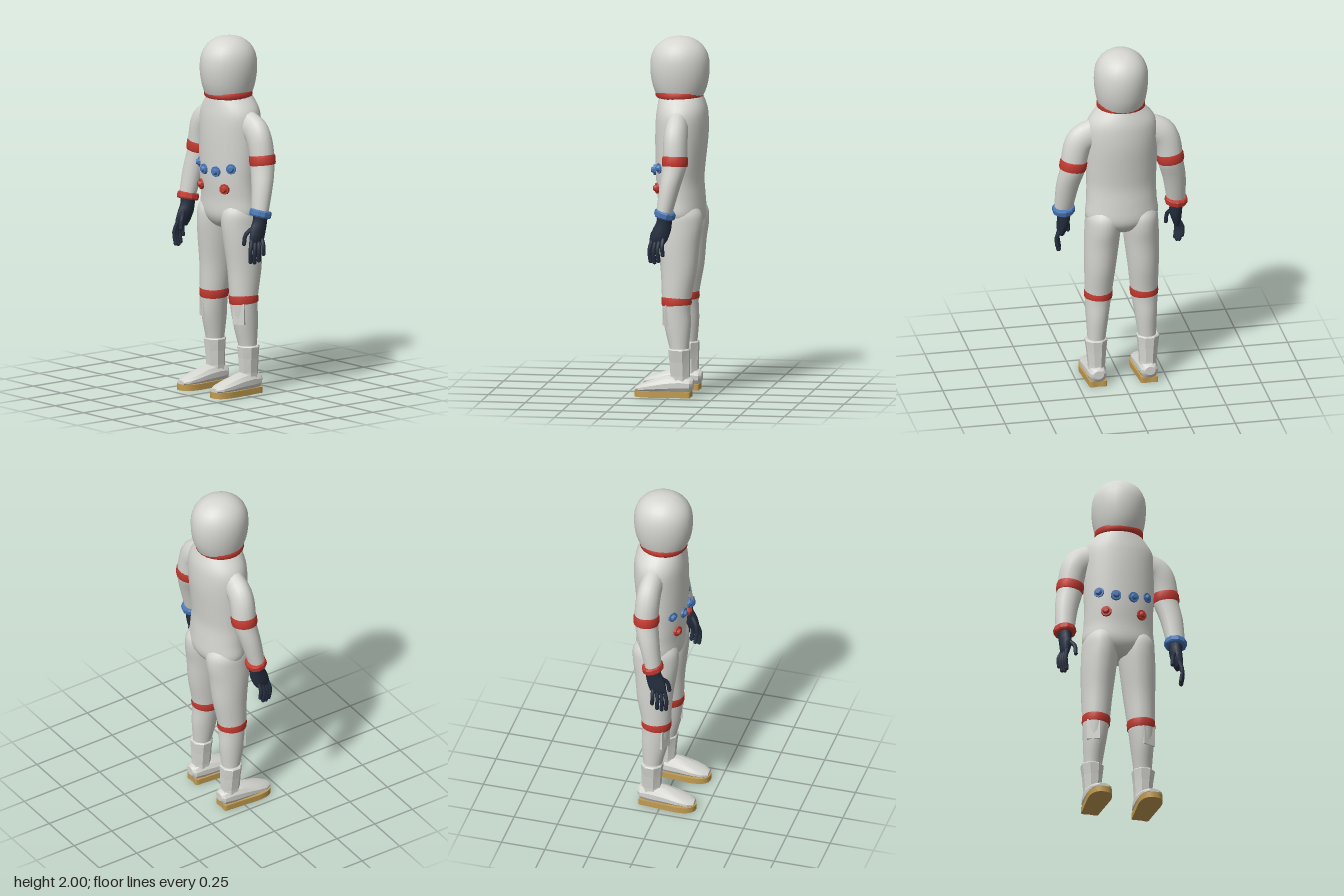
import * as THREE from 'three';
import { toCreasedNormals, mergeGeometries } from 'three/addons/utils/BufferGeometryUtils.js';

const mat = (name, color) => {
  const m = new THREE.MeshStandardMaterial({ color });
  m.name = name;
  return m;
};

// Catmull-Rom blend of the rows of a cross-section table
function refine(rows, steps) {
  const out = [];
  for (let i = 0; i < rows.length - 1; i++) {
    const [p, q, r, s] = [-1, 0, 1, 2].map(k => rows[Math.min(Math.max(i + k, 0), rows.length - 1)]);
    for (let j = 0; j < steps; j++) {
      const t = j / steps;
      out.push(q.map((b, k) => b + 0.5 * t * (r[k] - p[k]
        + t * (2 * p[k] - 5 * b + 4 * r[k] - s[k] + t * (3 * (b - r[k]) + s[k] - p[k])))));
    }
  }
  out.push(rows[rows.length - 1]);
  return out;
}

// Skin over elliptical rings [x, y, z, rx, rz, roll, pitch], listed bottom to top
function loft(table, { sides = 24, steps = 4, crease = 0.75 } = {}) {
  const rows = refine(table, steps), pos = [], idx = [];
  for (const [x, y, z, rx, rz, a, b] of rows) {
    for (let i = 0; i < sides; i++) {
      const t = ((i + 0.5) / sides) * Math.PI * 2, c = rx * Math.cos(t), s = rz * Math.sin(t);
      pos.push(x + c * Math.cos(a), y + c * Math.sin(a) + s * Math.sin(b), z + s * Math.cos(b));
    }
  }
  for (let r = 0; r < rows.length - 1; r++) {
    for (let i = 0; i < sides; i++) {
      const a = r * sides + i, b = r * sides + (i + 1) % sides;
      idx.push(a, a + sides, b, b, a + sides, b + sides);
    }
  }
  // end caps
  const top = (rows.length - 1) * sides;
  for (let i = 1; i < sides - 1; i++) {
    idx.push(0, i, i + 1, top, top + i + 1, top + i);
  }
  const g = new THREE.BufferGeometry();
  g.setAttribute('position', new THREE.Float32BufferAttribute(pos, 3));
  g.setIndex(idx);
  return toCreasedNormals(g, crease);
}

// Rows given as [x, y, z, rx, rz, roll?, pitch?], mirrored for the right side
const side = (rows, s) => rows.map(([x, y, z, rx, rz, a = 0, b = 0]) => [s * x, y, z, rx, rz, s * a, b]);

// Bevelled ring between two heights around a centre
function bandRows([x, y, z, rx, rz, a = 0, b = 0], h, bevel) {
  const up = [-Math.sin(a) * Math.cos(b), Math.cos(a) * Math.cos(b), -Math.sin(b)];
  return [[-0.5, -2 * bevel], [-0.5, -bevel], [-0.3, 0], [0.3, 0], [0.5, -bevel], [0.5, -2 * bevel]].map(([k, d]) =>
    [x + up[0] * k * h, y + up[1] * k * h, z + up[2] * k * h, rx + d, rz + d, a, b]);
}

export function createModel() {
  const white = mat('suit white', 0xd6d6d1), red = mat('trim red', 0xc43a30);
  const blue = mat('trim blue', 0x4a78b8), navy = mat('glove navy', 0x252f40);
  const tan = mat('sole tan', 0xc39d52);
  const model = new THREE.Group();
  const add = (name, geo, m, parent = model) => {
    const mesh = new THREE.Mesh(geo, m);
    mesh.name = name;
    parent.add(mesh);
    return mesh;
  };

  // Helmet and neck ring
  add('helmet', loft(side([
    [0, 1.67, -0.034, 0.125, 0.13], [0, 1.72, -0.034, 0.138, 0.15], [0, 1.78, -0.034, 0.148, 0.162],
    [0, 1.84, -0.034, 0.151, 0.165], [0, 1.9, -0.034, 0.143, 0.156], [0, 1.95, -0.034, 0.117, 0.127],
    [0, 1.985, -0.034, 0.072, 0.078], [0, 1.997, -0.034, 0.03, 0.033], [0, 2, -0.034, 0.002, 0.002]], 1),
  { steps: 2 }), white);
  add('neckRing', loft(bandRows([0, 1.68, -0.032, 0.135, 0.133], 0.042, 0.006), { steps: 1 }), red);

  // Torso
  add('torso', loft(side([
    [0, 0.93, -0.045, 0.07, 0.08], [0, 0.96, -0.046, 0.15, 0.112], [0, 1.01, -0.047, 0.203, 0.132],
    [0, 1.1, -0.044, 0.198, 0.131], [0, 1.2, -0.036, 0.195, 0.132], [0, 1.3, -0.038, 0.199, 0.138],
    [0, 1.45, -0.045, 0.202, 0.147], [0, 1.55, -0.047, 0.2, 0.145], [0, 1.61, -0.047, 0.178, 0.137],
    [0, 1.67, -0.042, 0.125, 0.122]], 1), { sides: 28 }), white);

  // Chest connectors, each facing out from the torso
  for (const [x, y, z, m] of [[0.135, 1.277, 0.055, blue], [0.05, 1.255, 0.094, blue], [0.1, 1.16, 0.074, red]]) {
    for (const s of [1, -1]) {
      const knob = new THREE.Group();
      knob.name = m === red ? 'redConnector' : 'blueConnector';
      knob.position.set(s * x, y, z);
      knob.rotation.y = s * Math.atan2(x / 0.039, (z + 0.04) / 0.019);
      const base = new THREE.CylinderGeometry(0.029, 0.031, 0.022, 10);
      const cap = new THREE.CylinderGeometry(0.012, 0.02, 0.014, 10).translate(0, 0.018, 0);
      add('connector', toCreasedNormals(mergeGeometries([base, cap]).rotateX(Math.PI / 2), 0.01), m, knob);
      model.add(knob);
    }
  }

  for (const s of [1, -1]) {
    const label = s > 0 ? 'left' : 'right';
    const arm = new THREE.Group(), leg = new THREE.Group();
    arm.name = label + 'Arm';
    leg.name = label + 'Leg';
    model.add(arm, leg);

    // Sleeve, arm band and cuff
    add('sleeve', loft(side([
      [0.318, 1.05, 0, 0.052, 0.048, 0, -0.2], [0.302, 1.2, -0.03, 0.064, 0.06, 0.1, -0.15],
      [0.276, 1.31, -0.052, 0.071, 0.066, 0.14], [0.267, 1.38, -0.053, 0.074, 0.067, 0.17],
      [0.247, 1.45, -0.051, 0.08, 0.067, 0.35], [0.214, 1.492, -0.05, 0.085, 0.065, 0.75],
      [0.16, 1.515, -0.047, 0.085, 0.062, 1.2], [0.09, 1.53, -0.045, 0.09, 0.06, 1.3]], s),
    { sides: 16, steps: 3 }), white, arm);
    add('armBand', loft(side(bandRows([0.274, 1.337, -0.053, 0.077, 0.072, 0.15], 0.055, 0.003), s),
      { sides: 16, steps: 1 }), red, arm);
    add('cuff', loft(side(bandRows([0.318, 1.048, -0.004, 0.064, 0.06, -0.05, 0.25], 0.04, 0.006), s),
      { sides: 10, steps: 1, crease: 0.01 }), s > 0 ? blue : red, arm);

    // Glove with four fingers and a thumb
    add('palm', loft(side([
      [0.326, 0.885, 0.036, 0.016, 0.038, 0, 0.15], [0.325, 0.91, 0.028, 0.025, 0.048, 0, 0.15],
      [0.318, 0.96, 0.013, 0.034, 0.05, 0, 0.2], [0.317, 1, 0, 0.036, 0.043, 0, 0.2],
      [0.318, 1.05, -0.004, 0.042, 0.042]], s), { sides: 12, steps: 2 }), navy, arm);
    const digits = [
      [[0.323, 0.91, 0.064], [0.335, 0.85, 0.08], [0.328, 0.785, 0.075]],
      [[0.328, 0.91, 0.045], [0.343, 0.845, 0.056], [0.333, 0.78, 0.052]],
      [[0.332, 0.91, 0.025], [0.35, 0.85, 0.032], [0.342, 0.79, 0.028]],
      [[0.335, 0.915, 0.003], [0.356, 0.87, 0.006], [0.353, 0.825, 0.003]],
      [[0.305, 0.97, 0.04], [0.281, 0.93, 0.072], [0.277, 0.88, 0.08]],
    ];
    digits.forEach((path, i) => {
      const pts = path.map(([x, y, z]) => new THREE.Vector3(s * x, y, z));
      const tube = new THREE.TubeGeometry(new THREE.CatmullRomCurve3(pts), 6, 0.0115, 8);
      const tip = new THREE.SphereGeometry(0.0118, 8, 6).translate(pts[2].x, pts[2].y, pts[2].z);
      add(i === 4 ? 'thumb' : 'finger', mergeGeometries([tube, tip]), navy, arm);
    });

    // Trouser leg, knee band and shin pocket
    add('trouserLeg', loft(side([
      [0.147, 0.2, -0.056, 0.044, 0.048], [0.143, 0.27, -0.054, 0.05, 0.053], [0.137, 0.4, -0.044, 0.063, 0.074],
      [0.13, 0.53, -0.037, 0.075, 0.08], [0.122, 0.7, -0.048, 0.087, 0.1], [0.113, 0.85, -0.046, 0.097, 0.117],
      [0.106, 0.95, -0.048, 0.1, 0.13], [0.102, 1.02, -0.048, 0.098, 0.127], [0.1, 1.07, -0.045, 0.075, 0.1]], s)),
    white, leg);
    add('kneeBand', loft(side(bandRows([0.129, 0.536, -0.037, 0.079, 0.084, 0.06, -0.06], 0.048, 0.002), s),
      { steps: 1 }), red, leg);
    const pocket = add('shinPocket', new THREE.BoxGeometry(0.072, 0.12, 0.05), white, leg);
    pocket.position.set(s * 0.152, 0.458, 0.005);
    pocket.rotation.y = s * 0.4;

    // Boot shaft, foot and sole
    add('bootShaft', loft(side([
      [0.145, 0.06, -0.06, 0.05, 0.06], [0.145, 0.12, -0.06, 0.05, 0.056], [0.146, 0.2, -0.058, 0.057, 0.059],
      [0.147, 0.265, -0.056, 0.066, 0.064], [0.147, 0.272, -0.056, 0.06, 0.058]], s),
    { sides: 8, steps: 1, crease: 0.01 }), white, leg);
    const down = -Math.PI / 2;
    add('bootFoot', loft(side([
      [0.145, 0.075, -0.134, 0.03, 0.025], [0.145, 0.068, -0.118, 0.048, 0.044], [0.145, 0.07, -0.06, 0.056, 0.06],
      [0.145, 0.065, 0.02, 0.06, 0.052], [0.145, 0.055, 0.1, 0.061, 0.036], [0.145, 0.047, 0.155, 0.053, 0.024],
      [0.145, 0.042, 0.188, 0.03, 0.014]].map(r => [...r, 0, down]), s),
    { sides: 12, steps: 1, crease: 0.4 }), white, leg);
    const outline = new THREE.Shape();
    outline.moveTo(0.05, 0.09);
    outline.bezierCurveTo(0.054, 0.14, 0.035, 0.12, 0, 0.12);
    outline.bezierCurveTo(-0.035, 0.12, -0.054, 0.14, -0.05, 0.09);
    outline.lineTo(-0.065, -0.09);
    outline.bezierCurveTo(-0.065, -0.16, -0.045, -0.197, 0, -0.197);
    outline.bezierCurveTo(0.045, -0.197, 0.065, -0.16, 0.065, -0.09);
    outline.closePath();
    const soleGeo = new THREE.ExtrudeGeometry(outline, { depth: 0.034, bevelEnabled: false, curveSegments: 8 });
    const sole = add('bootSole', toCreasedNormals(soleGeo.rotateX(-Math.PI / 2), 0.6), tan, leg);
    sole.position.x = s * 0.145;
  }
  return model;
}
